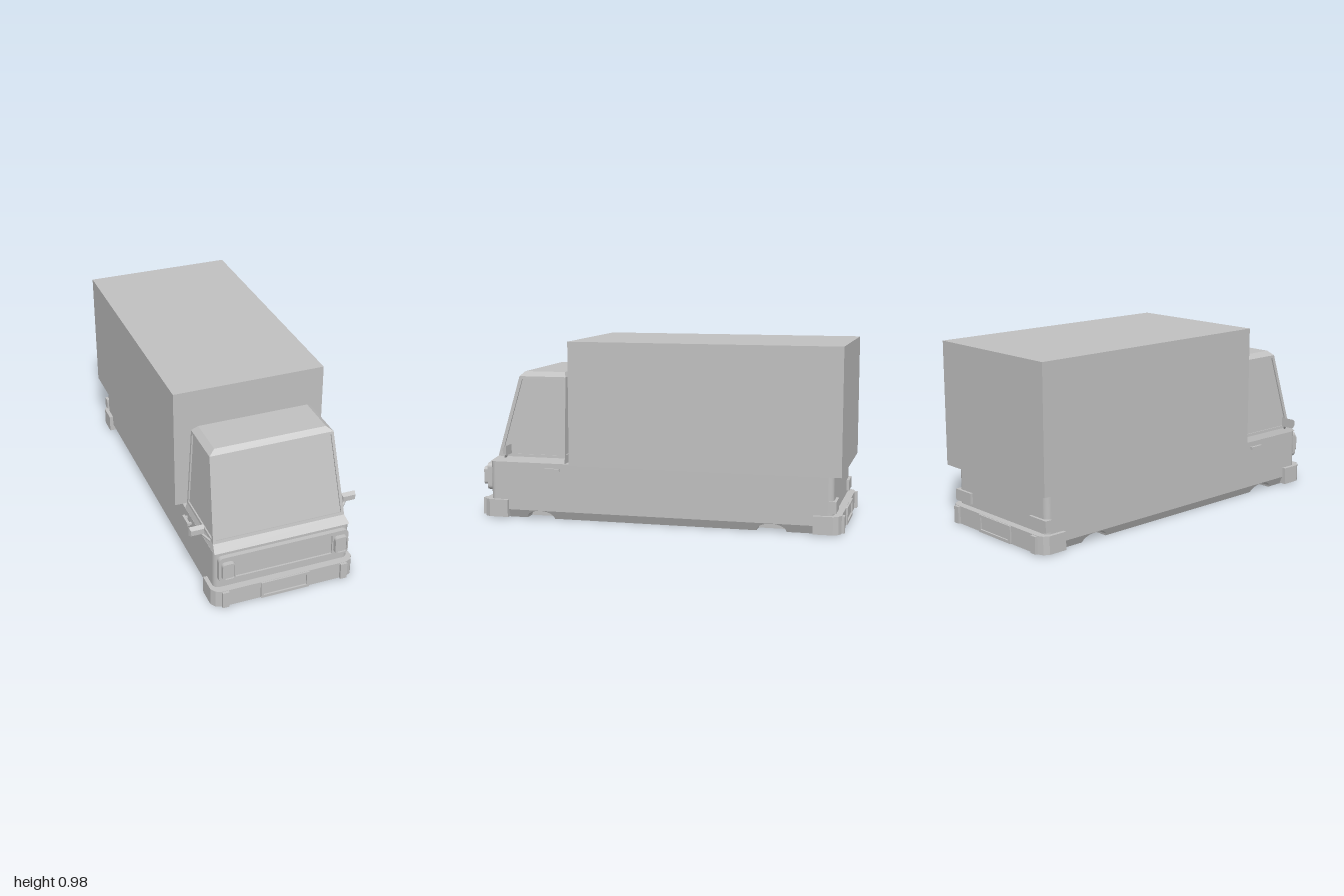
import * as THREE from 'three';

const paint = new THREE.MeshStandardMaterial({ color: 0xc0c0c0 });
paint.name = 'plain grey';

export function createModel() {
  const root = new THREE.Group();
  root.name = 'boxTruck';

  const add = (name, geo) => {
    const m = new THREE.Mesh(geo, paint);
    m.name = name;
    root.add(m);
    return m;
  };
  // Box given by its limits
  const block = (name, x0, x1, y0, y1, z0, z1) =>
    add(name, new THREE.BoxGeometry(x1 - x0, y1 - y0, z1 - z0)
      .translate((x0 + x1) / 2, (y0 + y1) / 2, (z0 + z1) / 2));
  // Flat-shaded geometry from four-cornered faces, counter-clockwise from outside
  const quads = (list) => {
    const pos = [];
    for (const [a, b, c, d] of list) pos.push(...a, ...b, ...c, ...a, ...c, ...d);
    const g = new THREE.BufferGeometry();
    g.setAttribute('position', new THREE.Float32BufferAttribute(pos, 3));
    g.computeVertexNormals();
    return g;
  };
  // Tapered block between two level rectangles [halfWidth, back, front, y]
  const taper = (name, lo, hi) => {
    const ring = ([w, b, f, y]) => [[-w, y, f], [w, y, f], [w, y, b], [-w, y, b]];
    const p = ring(lo), q = ring(hi);
    const faces = p.map((_, i) => [p[i], p[(i + 1) % 4], q[(i + 1) % 4], q[i]]);
    return add(name, quads([...faces, q, [...p].reverse()]));
  };
  // Framed panel whose pane sits a little behind the frame
  const windowPanel = (name, outer, inner, depth) => {
    const v = outer.map((p) => new THREE.Vector3(...p));
    const n = v[1].clone().sub(v[0]).cross(v[3].clone().sub(v[0])).normalize();
    const pane = inner.map((p) => new THREE.Vector3(...p).addScaledVector(n, -depth).toArray());
    const faces = [];
    for (let i = 0; i < 4; i++) {
      const j = (i + 1) % 4;
      faces.push([outer[i], outer[j], inner[j], inner[i]], [inner[i], inner[j], pane[j], pane[i]]);
    }
    add(name + 'Frame', quads(faces));
    add(name + 'Pane', quads([pane]));
  };
  const rounded = (cx, cy, w, h, r, Type = THREE.Shape) => {
    const s = new Type(), a = w / 2 - r, b = h / 2 - r;
    s.absarc(cx + a, cy + b, r, 0, Math.PI / 2);
    s.absarc(cx - a, cy + b, r, Math.PI / 2, Math.PI);
    s.absarc(cx - a, cy - b, r, Math.PI, Math.PI * 1.5);
    s.absarc(cx + a, cy - b, r, Math.PI * 1.5, Math.PI * 2);
    s.closePath();
    return s;
  };
  const extrude = (shape, depth) =>
    new THREE.ExtrudeGeometry(shape, { depth, bevelEnabled: false, curveSegments: 6 });
  // Extrude a plan outline (x, z) between two heights
  const plan = (name, shape, y0, y1) =>
    add(name, extrude(shape, y1 - y0).rotateX(Math.PI / 2).translate(0, y1, 0));

  // Lower body
  plan('lowerBody', rounded(0, 0, 0.742, 1.89, 0.03), 0.05, 0.315);
  block('floorCore', -0.28, 0.28, 0.005, 0.05, -0.93, 0.93);

  // Sills with wheel arches, leaning inward towards the bottom
  const sill = new THREE.Shape();
  sill.moveTo(0.93, 0.05);
  sill.lineTo(-0.93, 0.05);
  sill.lineTo(-0.93, 0.005);
  for (const z of [-0.62, 0.66]) {
    sill.lineTo(z - 0.08, 0.005);
    sill.absellipse(z, 0.005, 0.08, 0.044, Math.PI, 0, true);
  }
  sill.lineTo(0.93, 0.005);
  for (const x of [-0.27, 0.37]) {
    const g = extrude(sill, 0.1).rotateY(-Math.PI / 2).translate(x, 0, 0);
    const p = g.attributes.position;
    for (let i = 0; i < p.count; i++) {
      if (Math.abs(p.getX(i)) > 0.3) {
        p.setX(i, p.getX(i) - Math.sign(x) * 0.022 * (0.05 - p.getY(i)) / 0.045);
      }
    }
    g.computeVertexNormals();
    add('sill', g);
  }

  // Cargo box
  block('cargoBox', -0.412, 0.412, 0.315, 0.983, -0.988, 0.475);

  // Cab: bonnet ledge, framed windows and roof
  taper('bonnetLedge', [0.37, 0.515, 0.945, 0.315], [0.36, 0.515, 0.9, 0.345]);
  const side = (y) => 0.36 - 0.027 * (y - 0.345) / 0.44;
  const front = (y) => 0.9 - 0.12 * (y - 0.345) / 0.44;
  const Y0 = 0.345, Y1 = 0.785, A = 0.36, B = 0.77, back = 0.515;
  const across = (inset, lo, hi, z) => [
    [-side(lo) + inset, lo, z(lo)], [side(lo) - inset, lo, z(lo)],
    [side(hi) - inset, hi, z(hi)], [-side(hi) + inset, hi, z(hi)]];
  const turn = (pts) => [pts[1], pts[0], pts[3], pts[2]];
  windowPanel('windscreen', across(0, Y0, Y1, front), across(0.015, A, B, front), 0.008);
  windowPanel('rearWindow', turn(across(0, Y0, Y1, () => back)),
    turn(across(0.03, A, B, () => back)), 0.008);
  const along = (s, lo, hi, f, b) => [
    [s * side(lo), lo, front(lo) - f], [s * side(lo), lo, b],
    [s * side(hi), hi, b], [s * side(hi), hi, front(hi) - f]];
  for (const s of [1, -1]) {
    const o = along(s, Y0, Y1, 0, back), i = along(s, A, B, 0.02, 0.53);
    windowPanel('sideWindow', s > 0 ? o : turn(o), s > 0 ? i : turn(i), 0.008);
  }
  taper('roof', [0.333, 0.515, 0.78, 0.785], [0.3, 0.53, 0.757, 0.81]);

  // Grille surround with recessed panel
  const grille = rounded(0, 0.226, 0.71, 0.15, 0.025);
  grille.holes.push(rounded(0, 0.226, 0.53, 0.114, 0.002, THREE.Path));
  add('grilleSurround', extrude(grille, 0.03).translate(0, 0, 0.94));
  block('grillePanel', -0.27, 0.27, 0.165, 0.287, 0.93, 0.96);

  // Bumpers with overriders and number plate holders
  for (const e of [1, -1]) {
    const end = e > 0 ? 'front' : 'rear';
    const s = new THREE.Shape();
    s.moveTo(-0.392, e * 0.84);
    s.lineTo(-0.392, e * 0.945);
    s.lineTo(-0.375, e * 0.972);
    s.lineTo(-0.345, e * 0.985);
    s.lineTo(0.345, e * 0.985);
    s.lineTo(0.375, e * 0.972);
    s.lineTo(0.392, e * 0.945);
    s.lineTo(0.392, e * 0.84);
    plan(end + 'Bumper', s, 0.01, 0.106);
    const plate = rounded(0, 0.058, 0.268, 0.094, 0.001);
    plate.holes.push(rounded(0, 0.059, 0.238, 0.066, 0.001, THREE.Path));
    add(end + 'PlateHolder', extrude(plate, 0.012).translate(0, 0, e > 0 ? 0.982 : -0.994));
    for (const x of [-0.327, 0.327]) {
      block(end + 'Overrider', x - 0.018, x + 0.018, 0.012, 0.104,
        Math.min(e * 0.97, e), Math.max(e * 0.97, e));
    }
  }

  // Paired fittings
  for (const s of [1, -1]) {
    const pair = (name, x0, x1, ...rest) =>
      block(name, Math.min(s * x0, s * x1), Math.max(s * x0, s * x1), ...rest);

    const bezel = rounded(s * 0.308, 0.227, 0.07, 0.098, 0.018);
    bezel.holes.push(rounded(s * 0.308, 0.227, 0.056, 0.084, 0.013, THREE.Path));
    add('headlampBezel', extrude(bezel, 0.03).translate(0, 0, 0.965));
    add('headlampLens', extrude(rounded(s * 0.308, 0.227, 0.06, 0.088, 0.014), 0.022)
      .translate(0, 0, 0.965));

    pair('tailLamp', 0.25, 0.382, 0.122, 0.183, -0.96, -0.92);

    // Wing mirror: housing narrowing forward, on a short arm
    const housing = new THREE.BoxGeometry(0.08, 0.052, 0.022);
    const p = housing.attributes.position;
    for (let i = 0; i < p.count; i++) {
      if (p.getZ(i) > 0) p.setXY(i, p.getX(i) * 0.85, p.getY(i) * 0.55);
    }
    housing.computeVertexNormals();
    add('wingMirror', housing.translate(s * 0.418, 0.391, 0.826));
    add('mirrorArm', new THREE.TubeGeometry(new THREE.LineCurve3(
      new THREE.Vector3(s * 0.355, 0.338, 0.862),
      new THREE.Vector3(s * 0.4, 0.38, 0.826)), 1, 0.007, 6));

    // Door handle on two stubs
    pair('doorHandle', 0.382, 0.396, 0.274, 0.29, 0.538, 0.62);
    for (const z of [0.545, 0.605]) pair('handleStub', 0.365, 0.384, 0.277, 0.287, z, z + 0.012);
  }
  return root;
}
